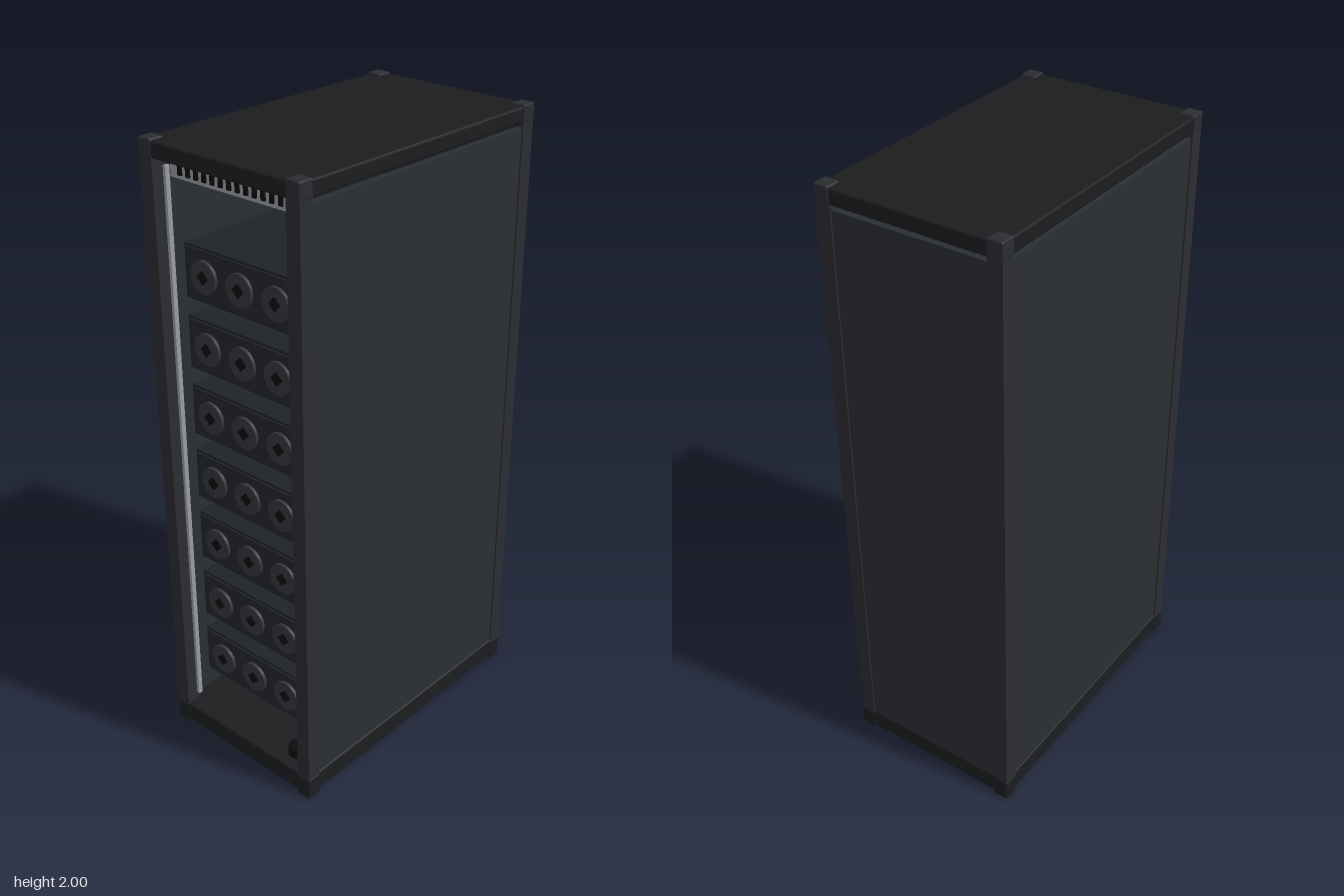
import * as THREE from 'three';
import { RoundedBoxGeometry } from 'three/addons/geometries/RoundedBoxGeometry.js';

const mat = (color) => new THREE.MeshStandardMaterial({ color });
const M = {
  panel: mat(0x2a2e33), post: mat(0x2c2d33), cap: mat(0x1c1d20), corner: mat(0x2b2c31),
  unit: mat(0x1f2227), face: mat(0x23262b), fan: mat(0x35363d), dark: mat(0x0b0c0e), metal: mat(0x9a9da1),
};

function add(parent, name, geometry, material, x, y, z) {
  const mesh = new THREE.Mesh(geometry, material);
  mesh.name = name;
  mesh.position.set(x, y, z);
  parent.add(mesh);
  return mesh;
}

// Box given by its lower and upper limits on each axis
function box(parent, name, material, [x0, x1], [y0, y1], [z0, z1]) {
  return add(parent, name, new THREE.BoxGeometry(x1 - x0, y1 - y0, z1 - z0), material,
    (x0 + x1) / 2, (y0 + y1) / 2, (z0 + z1) / 2);
}

// Drawer unit with three fans; its origin is the middle of its front
function createUnit() {
  const unit = new THREE.Group();
  unit.name = 'rackUnit';
  box(unit, 'unitBody', M.unit, [-0.225, 0.225], [-0.083, 0.083], [-0.8, 0]);
  box(unit, 'unitFaceplate', M.face, [-0.215, 0.215], [-0.075, 0.075], [0, 0.005]);
  for (const x of [-0.14, 0, 0.14]) {
    const ring = add(unit, 'fanDisc', new THREE.CylinderGeometry(0.05, 0.05, 0.012, 24), M.fan, x, 0, 0.009);
    const hub = add(unit, 'fanHub', new THREE.CylinderGeometry(0.022, 0.022, 0.008, 4), M.dark, x, 0, 0.014);
    ring.rotation.x = hub.rotation.x = Math.PI / 2;
  }
  box(unit, 'statusLight', M.dark, [0.2, 0.209], [0.06, 0.069], [0.005, 0.009]);
  return unit;
}

export function createModel() {
  const model = new THREE.Group();
  model.name = 'rackCabinet';

  // Base and roof
  add(model, 'base', new RoundedBoxGeometry(0.594, 0.07, 0.994, 2, 0.008), M.cap, 0, 0.045, 0);
  add(model, 'roof', new RoundedBoxGeometry(0.594, 0.05, 0.994, 2, 0.008), M.cap, 0, 1.97, 0);

  // Corner posts with their caps and feet
  for (const sx of [-1, 1]) {
    for (const sz of [-1, 1]) {
      box(model, 'cornerPost', M.post, sx < 0 ? [-0.298, -0.25] : [0.25, 0.298], [0.07, 1.96],
        sz < 0 ? [-0.498, -0.45] : [0.45, 0.498]);
      add(model, 'cornerCap', new RoundedBoxGeometry(0.05, 0.054, 0.05, 2, 0.006), M.corner, sx * 0.275, 1.973, sz * 0.475);
      add(model, 'cornerFoot', new RoundedBoxGeometry(0.05, 0.075, 0.05, 2, 0.006), M.cap, sx * 0.275, 0.0375, sz * 0.475);
    }
    // Side panel, leaving an air gap below the roof
    box(model, 'sidePanel', M.panel, sx < 0 ? [-0.293, -0.275] : [0.275, 0.293], [0.07, 1.932], [-0.45, 0.45]);
    // Bright mounting rail inside the opening
    box(model, 'mountingRail', M.metal, sx < 0 ? [-0.249, -0.239] : [0.239, 0.249], [0.105, 1.92], [0.445, 0.46]);
  }
  box(model, 'backPanel', M.panel, [-0.25, 0.25], [0.07, 1.932], [-0.493, -0.475]);

  // Slotted vent strip under the front of the roof
  box(model, 'ventStrip', M.metal, [-0.23, 0.23], [1.89, 1.946], [0.43, 0.45]);
  for (let i = 0; i < 13; i++) {
    const x = (i - 6) * 0.0315;
    box(model, 'ventSlot', M.dark, [x - 0.007, x + 0.007], [1.902, 1.946], [0.45, 0.456]);
  }

  // Stack of units
  for (let i = 0; i < 7; i++) {
    const unit = createUnit();
    unit.position.set(0, 0.285 + i * 0.2213, 0.42);
    model.add(unit);
  }

  // Small round knob at the lower front corner
  add(model, 'knob', new THREE.CylinderGeometry(0.03, 0.03, 0.028, 20), M.dark, 0.22, 0.138, 0.465);
  return model;
}
